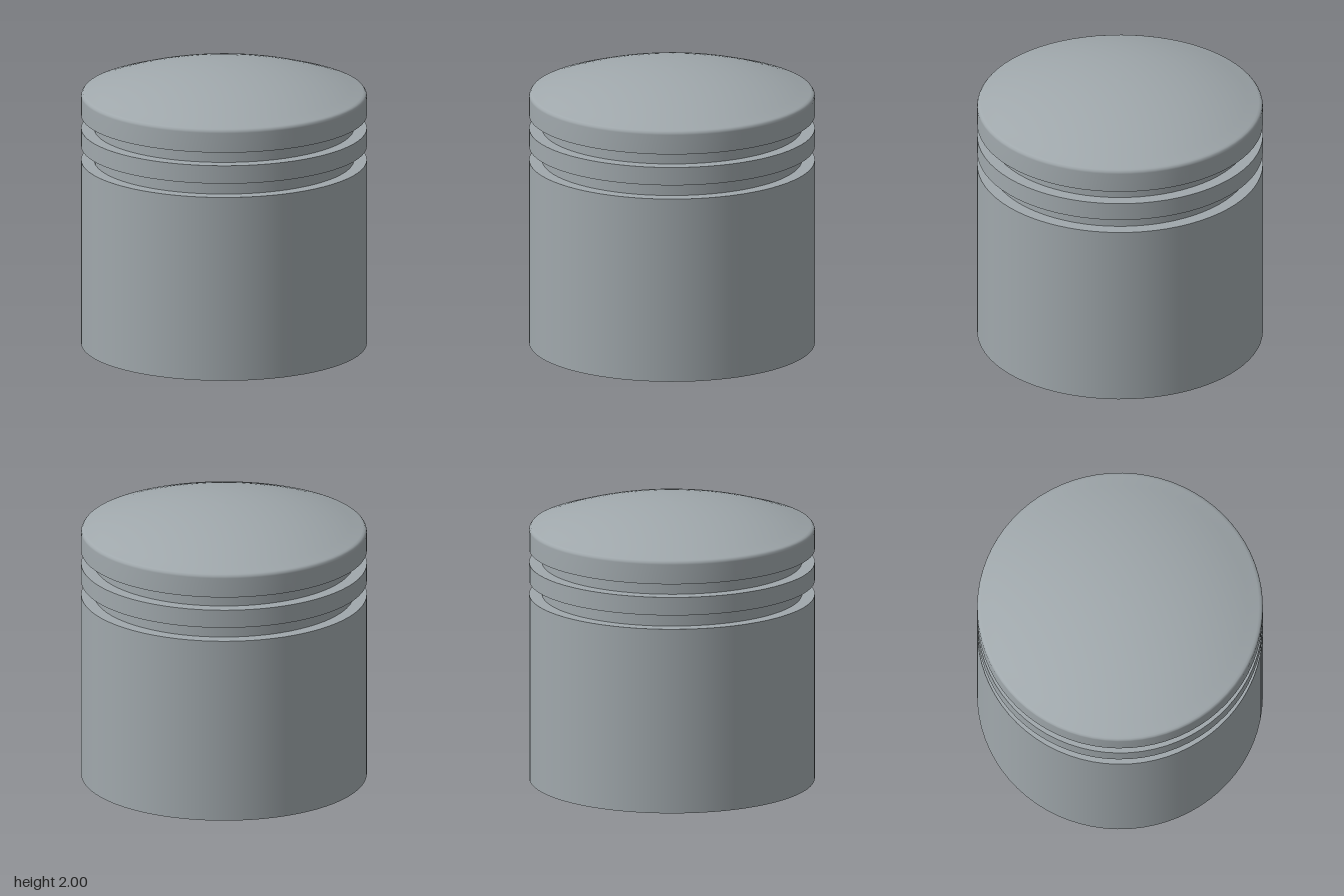
import * as THREE from 'three';

export function createModel() {
  const group = new THREE.Group();
  group.name = 'piston';
  const steel = new THREE.MeshStandardMaterial({ color: 0xa0a8ac });
  steel.name = 'grey steel';

  // Surface of revolution; profile runs up the outside
  const turn = (name, points) => {
    const profile = points.map(([r, y]) => new THREE.Vector2(r, y));
    const mesh = new THREE.Mesh(new THREE.LatheGeometry(profile, 72), steel);
    mesh.name = name;
    group.add(mesh);
  };
  // Sharp-edged profile: each straight run is its own band
  const turnSharp = (name, points) => {
    for (let i = 0; i < points.length - 1; i++) turn(name, [points[i], points[i + 1]]);
  };

  const R = 1, bore = 0.87, root = 0.91;

  // Hollow inside and bottom rim
  turnSharp('bore', [[0, 1.6], [bore, 1.6], [bore, 0], [R, 0]]);

  // Skirt, ring grooves and lands
  turnSharp('skirtAndRingGrooves', [
    [R, 0], [R, 1.33], [root, 1.33], [root, 1.43], [R, 1.43],
    [R, 1.56], [root, 1.56], [root, 1.655], [R, 1.655],
  ]);

  // Top land with rounded shoulder and shallow domed crown
  const crown = [[R, 1.655], [R, 1.795], [0.997, 1.808], [0.988, 1.82]];
  const domeR = 2.76;
  for (let i = 0; i <= 12; i++) {
    const r = 0.972 * (1 - i / 12);
    crown.push([r, 2 - domeR + Math.sqrt(domeR * domeR - r * r)]);
  }
  turn('crown', crown);

  // Pin bosses reaching inward from the bore wall
  for (const side of [-1, 1]) {
    const boss = new THREE.Mesh(new THREE.CylinderGeometry(0.27, 0.27, 0.54, 48), steel);
    boss.name = side > 0 ? 'leftPinBoss' : 'rightPinBoss';
    boss.rotation.z = Math.PI / 2;
    boss.position.set(side * 0.63, 0.72, 0);
    group.add(boss);
  }
  return group;
}
